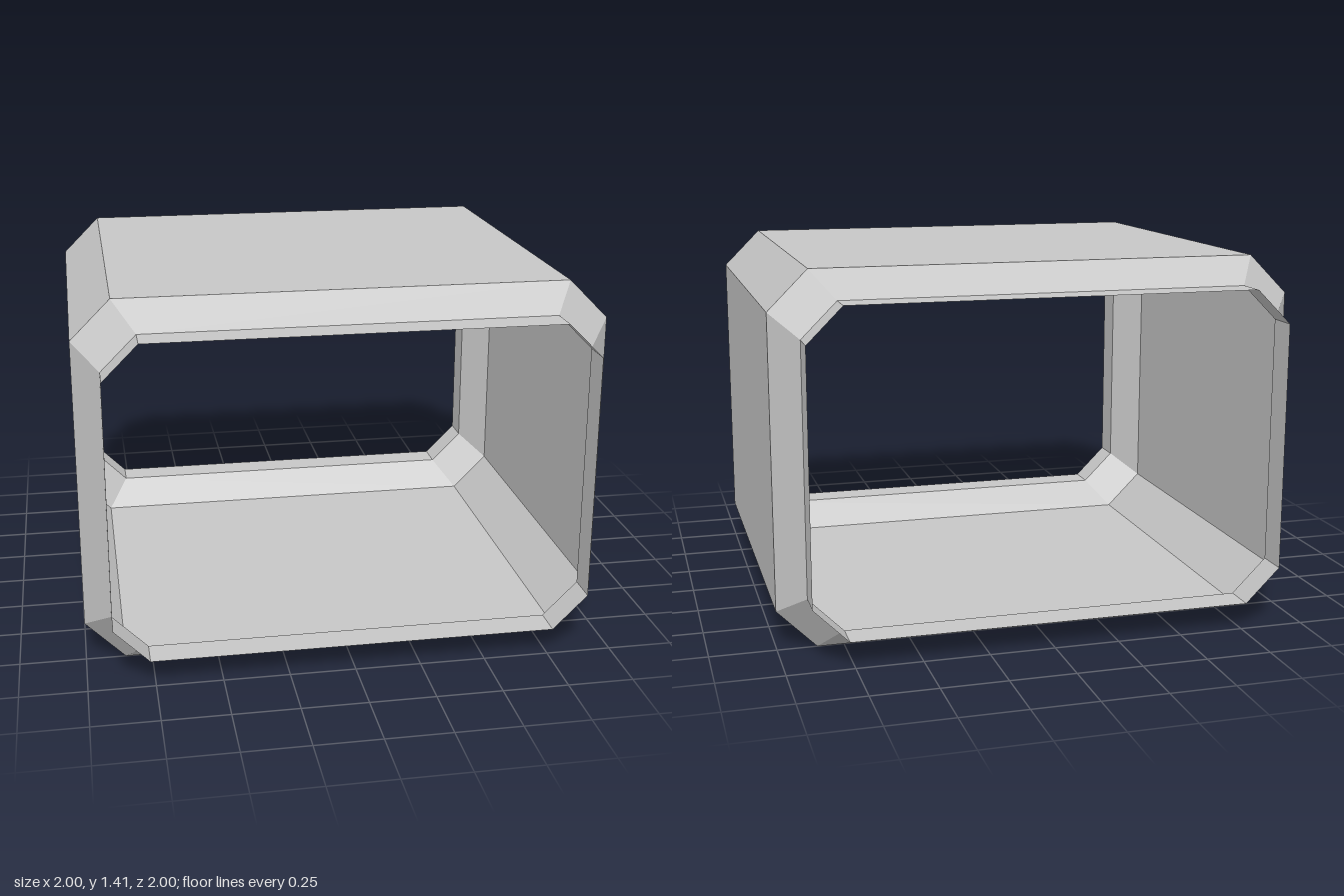
import * as THREE from 'three';

const MID = 0.705; // height of the tunnel axis

// Chamfered rectangle, counter-clockwise seen from the front
function octagon(w, h, cx, cy) {
  return [
    [w, -h + cy], [w, h - cy], [w - cx, h], [-w + cx, h],
    [-w, h - cy], [-w, -h + cy], [-w + cx, -h], [w - cx, -h],
  ];
}

// Open band of flat panels between two cross-sections, z0 < z1
function band(name, ringA, z0, ringB, z1, material) {
  const pos = [];
  const n = ringA.length;
  for (let i = 0; i < n; i++) {
    const j = (i + 1) % n;
    const a = [ringA[i][0], ringA[i][1] + MID, z0];
    const b = [ringA[j][0], ringA[j][1] + MID, z0];
    const c = [ringB[j][0], ringB[j][1] + MID, z1];
    const d = [ringB[i][0], ringB[i][1] + MID, z1];
    pos.push(...a, ...b, ...c, ...a, ...c, ...d);
  }
  const geo = new THREE.BufferGeometry();
  geo.setAttribute('position', new THREE.Float32BufferAttribute(pos, 3));
  geo.computeVertexNormals();
  const mesh = new THREE.Mesh(geo, material);
  mesh.name = name;
  return mesh;
}

export function createModel() {
  const group = new THREE.Group();
  group.name = 'corridorSection';
  const grey = new THREE.MeshStandardMaterial({ color: 0xc6c6c6, side: THREE.DoubleSide });
  grey.name = 'lightGrey';

  const outer = octagon(1, 0.705, 0.15, 0.15);
  const inner = octagon(0.9, 0.605, 0.132, 0.132);

  // Wide middle, sloped shoulders and narrow open collars at both ends
  group.add(
    band('backCollar', inner, -1, inner, -0.875, grey),
    band('backShoulder', inner, -0.875, outer, -0.75, grey),
    band('hull', outer, -0.75, outer, 0.75, grey),
    band('frontShoulder', outer, 0.75, inner, 0.875, grey),
    band('frontCollar', inner, 0.875, inner, 1, grey),
  );
  return group;
}
